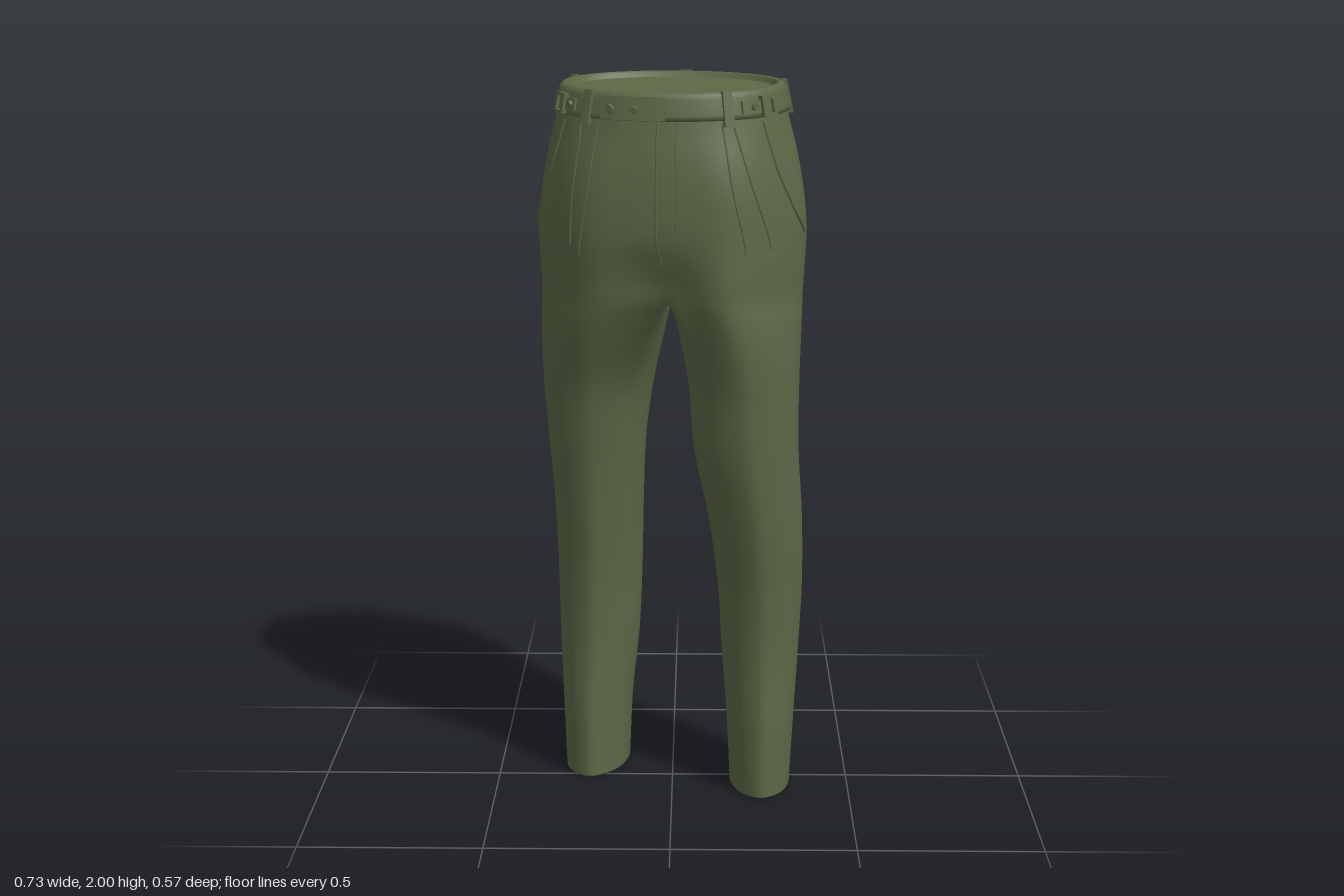
import * as THREE from 'three';
import { mergeGeometries, mergeVertices } from 'three/addons/utils/BufferGeometryUtils.js';

const RAD = Math.PI / 180;
const CROTCH = 1.43;
const spow = (v, p) => Math.sign(v) * Math.abs(v) ** p;
const smooth = (v, a, b) => THREE.MathUtils.smoothstep(v, a, b);
const bell = (v, w) => Math.exp(-((v / w) ** 2));

// Hip sections: height, half width, front depth, back depth
const HIPS = [
  [1.43, 0.357, 0.272, 0.222], [1.5, 0.36, 0.276, 0.245], [1.6, 0.363, 0.278, 0.268],
  [1.7, 0.354, 0.277, 0.279], [1.8, 0.336, 0.27, 0.264], [1.9, 0.311, 0.254, 0.216], [2.0, 0.29, 0.237, 0.193],
];
// Leg sections: height, inner x, outer x, front z, back z
const LEFT_LEG = [
  [0, 0.165, 0.335, 0.175, -0.118], [0.2, 0.155, 0.345, 0.173, -0.122], [0.4, 0.14, 0.356, 0.165, -0.124],
  [0.6, 0.127, 0.364, 0.18, -0.127], [0.8, 0.1, 0.36, 0.21, -0.105], [1.0, 0.06, 0.347, 0.238, -0.087],
  [1.2, 0.045, 0.346, 0.255, -0.103], [1.43, 0.025, 0.352, 0.28, -0.125],
];
const RIGHT_LEG = [
  [0, 0.13, 0.308, 0.028, -0.27], [0.2, 0.12, 0.315, 0.026, -0.277], [0.4, 0.099, 0.322, 0.022, -0.277],
  [0.6, 0.09, 0.325, 0.035, -0.275], [0.8, 0.085, 0.33, 0.065, -0.245], [1.0, 0.076, 0.343, 0.1, -0.215],
  [1.2, 0.05, 0.355, 0.14, -0.208], [1.43, 0.025, 0.362, 0.2, -0.22],
];

// Smooth interpolation of a section table at height y
function sample(table, y) {
  const n = table.length - 1;
  y = THREE.MathUtils.clamp(y, table[0][0], table[n][0]);
  let k = 0;
  while (k < n - 1 && y > table[k + 1][0]) k++;
  const h = table[k + 1][0] - table[k][0], f = (y - table[k][0]) / h;
  const slope = (i, c) => {
    const a = table[Math.max(i - 1, 0)], b = table[Math.min(i + 1, n)];
    return (b[c] - a[c]) / (b[0] - a[0]);
  };
  return table[k].slice(1).map((v, j) => {
    const c = j + 1, s = f * f * (3 - 2 * f);
    return v + (table[k + 1][c] - v) * s
      + h * (f * (1 - f) ** 2 * slope(k, c) - f * f * (1 - f) * slope(k + 1, c));
  });
}

// Point on the hips: angle 0 is the front, positive goes to the left side
function hip(y, angle, out = 0) {
  const [a, front, back] = sample(HIPS, y);
  const s = Math.sin(angle), c = Math.cos(angle);
  const low = 1 - smooth(y, CROTCH, 1.62);
  const dent = c > 0 ? 0.17 * low : 0.04 * smooth(1.86 - y, 0, 0.15) + 0.2 * low;
  const crease = c > 0 ? 0.014 * bell(Math.abs(s) - 0.5, 0.22) * (1 - smooth(y, 1.7, 1.9)) : 0;
  const z = (c > 0 ? front : back) * spow(c, 0.93) * (1 - dent * bell(s, 0.3)) + crease + out * c;
  // Under the crotch the centre seam swings back to the middle
  const x = a * spow(s, 0.93) + out * s + 0.15 * low * z * bell(s, 0.5);
  const yaw = 0.14 + 0.06 * low;
  return new THREE.Vector3(x * Math.cos(yaw) - z * Math.sin(yaw), y, z * Math.cos(yaw) + x * Math.sin(yaw));
}

// Point on a leg: oval section with a pressed crease front and back
function leg(side, y, angle) {
  const [xi, xo, zf, zb] = sample(side > 0 ? LEFT_LEG : RIGHT_LEG, y);
  const s = Math.sin(angle), c = Math.cos(angle), hx = (xo - xi) / 2, hz = (zf - zb) / 2;
  const dz = hz * c * (0.965 + 0.035 * bell(s, 0.22));
  const turnout = side > 0 ? 0.01 : 0.13;
  return new THREE.Vector3(side * ((xi + xo) / 2 + hx * s + turnout * dz), y, (zf + zb) / 2 + dz);
}

// Skin through rows of points, listed from the top down
function skin(rows, flip = false) {
  const w = rows[0].length, index = [];
  for (let r = 0; r < rows.length - 1; r++) for (let i = 0; i < w - 1; i++) {
    const a = r * w + i, b = a + 1, c = a + w, d = c + 1;
    index.push(...(flip ? [a, b, c, b, d, c] : [a, c, b, b, c, d]));
  }
  const g = new THREE.BufferGeometry().setFromPoints(rows.flat());
  g.setIndex(index);
  return g;
}
const range = (n, f) => Array.from({ length: n + 1 }, (_, i) => f(i / n));

// Ring of one leg that opens from the half hip section at the crotch
function legRing(side, y) {
  const w = smooth(CROTCH - y, 0, 0.3) ** 0.45, a = 0.75;
  const outer = range(44, (t) => hip(CROTCH, side * Math.PI * t).setY(y)
    .lerp(leg(side, y, -a + (Math.PI + 2 * a) * t), w));
  const back = hip(CROTCH, Math.PI), front = hip(CROTCH, 0);
  const inner = range(22, (t) => back.clone().lerp(front, t)
    .setY(y - 0.015 * Math.sin(Math.PI * t)).lerp(leg(side, y, Math.PI + a + (Math.PI - 2 * a) * t), w));
  return [...outer, ...inner.slice(1)];
}

export function createModel() {
  const model = new THREE.Group();
  const fabric = new THREE.MeshStandardMaterial({ color: 0x5c6846 });
  fabric.name = 'olive fabric';
  const add = (name, geometry) => {
    const mesh = new THREE.Mesh(geometry, fabric);
    mesh.name = name;
    model.add(mesh);
    return mesh;
  };

  // Seat and both legs as one smooth surface
  const pieces = [];
  for (const side of [1, -1]) {
    pieces.push(skin(range(18, (t) => range(44, (u) =>
      hip(1.94 + (CROTCH - 1.94) * t, side * Math.PI * u))), side < 0));
    pieces.push(skin(range(56, (t) => legRing(side, CROTCH + (0.005 - CROTCH) * t)), side < 0));
  }
  const body = mergeVertices(mergeGeometries(pieces), 1e-4);
  body.computeVertexNormals();
  add('trouserBody', body);

  // Closed hems
  for (const side of [1, -1]) {
    const ring = legRing(side, 0.005);
    const mid = ring.reduce((s, p) => s.add(p), new THREE.Vector3()).divideScalar(ring.length);
    const inset = ring.map((p) => p.clone().lerp(mid, 0.04).setY(0));
    const hem = skin([ring, inset, ring.map(() => mid.clone().setY(0))], side < 0);
    hem.computeVertexNormals();
    add(side > 0 ? 'leftHem' : 'rightHem', hem);
  }

  // Waistband with rolled rim and sunken lid, a little higher at the back
  const tilt = (p, angle) => p.setY(p.y - 0.011 * Math.cos(angle));
  const profile = [[-0.026, 1.972], [-0.02, 1.973], [-0.016, 1.984], [-0.009, 1.989], [0, 1.988],
    [0.006, 1.981], [0.008, 1.97], [0.009, 1.93], [0.008, 1.918], [-0.006, 1.913]];
  const bandRows = profile.map(([o, y]) => range(96, (t) => tilt(hip(y, 2 * Math.PI * t, o), 2 * Math.PI * t)));
  bandRows.unshift(bandRows[0].map(() => new THREE.Vector3(0, 1.972, 0.02)));
  const band = mergeVertices(skin(bandRows), 1e-5);
  band.computeVertexNormals();
  add('waistband', band);

  // Flat piece of cloth laid on the hips, from angle a0 to a1 in degrees
  function patch(name, a0, a1, y0, y1, o0, o1, tilted = false, taper = 0) {
    const g = new THREE.BoxGeometry(1, 1, 1, 10, 10, 1), p = g.attributes.position;
    for (let i = 0; i < p.count; i++) {
      const u = p.getX(i) + 0.5, v = p.getY(i) + 0.5;
      const angle = (a0 + (a1 - a0) * u * (1 - taper * (1 - v) ** 6)) * RAD;
      const q = hip(y0 + (y1 - y0) * v, angle, p.getZ(i) > 0 ? o1 : o0);
      if (tilted) tilt(q, angle);
      p.setXYZ(i, q.x, q.y, q.z);
    }
    g.computeVertexNormals();
    return add(name, g);
  }

  // Rounded cord following the hips through [degrees, height] points
  function cord(name, points, radius, out = 0) {
    const dense = new THREE.CatmullRomCurve3(points.map(([a, y]) => new THREE.Vector3(a, y, 0)))
      .getPoints(14).map((p) => hip(p.y, p.x * RAD, out));
    return add(name, new THREE.TubeGeometry(new THREE.CatmullRomCurve3(dense), 30, radius, 6));
  }

  // Round button facing outward
  function button(name, deg, y, out, radius) {
    const g = new THREE.CylinderGeometry(radius * 0.85, radius, 0.008, 20).rotateX(Math.PI / 2);
    const mesh = add(name, g);
    mesh.position.copy(hip(y, deg * RAD, out));
    mesh.lookAt(hip(y, deg * RAD, out + 1));
  }

  // Belt loops
  for (const a of [-36, 33, 106, 179, -112]) {
    patch('beltLoop', a - 2.5, a + 2.5, 1.9, 1.99, 0.002, 0.017, true);
  }

  // Fly with stitching, and waistband closure
  patch('fly', 0, 7.5, 1.53, 1.905, -0.01, 0.003, false, 0.9);
  cord('flyEdge', [[0, 1.9], [0, 1.7], [0, 1.53]], 0.003, 0.002);
  cord('flyStitching', [[7.5, 1.9], [7.5, 1.75], [7, 1.62], [4.5, 1.56], [0.5, 1.53]], 0.002, 0.003);
  patch('closureTab', -27, 3, 1.918, 1.978, 0, 0.013, true);
  button('closureButton', -22, 1.935, 0.016, 0.013);
  button('closureButton', -10, 1.935, 0.016, 0.011);

  // Front pleats
  cord('pleat', [[30, 1.9], [32, 1.75], [38, 1.56]], 0.003);
  cord('pleat', [[36, 1.9], [42, 1.75], [52, 1.57]], 0.003);
  cord('pleat', [[-29, 1.9], [-30, 1.75], [-34, 1.55]], 0.003);
  cord('pleat', [[-41, 1.9], [-39, 1.75], [-39, 1.58]], 0.003);

  for (const s of [1, -1]) {
    // Slanted side pocket
    cord('sidePocketEdge', [[s * 56, 1.9], [s * 59, 1.8], [s * 68, 1.69], [s * 83, 1.6]], 0.005);

    // Waist adjuster: strap, buckle frame and button
    const [a0, a1] = s > 0 ? [41, 66] : [-70, -45];
    patch('adjusterStrap', a0, a1, 1.93, 1.962, 0.004, 0.016, true);
    const b = s * 58;
    for (const d of [-4, 4]) patch('buckleSide', b + d - 1, b + d + 1, 1.92, 1.972, 0.01, 0.024, true);
    for (const y of [1.92, 1.964]) patch('buckleBar', b - 5, b + 5, y, y + 0.008, 0.01, 0.024, true);
    button('adjusterButton', s * 48, 1.94, 0.019, 0.01);

    // Back welt pocket with button and loop
    const [w0, w1] = s > 0 ? [113, 159] : [-163, -119];
    patch('backPocketWelt', w0, w1, 1.797, 1.812, -0.005, 0.006);
    cord('backPocketLip', [[w0, 1.794], [(w0 + w1) / 2, 1.793], [w1, 1.794]], 0.004, 0.001);
    const mid = s * 142;
    patch('buttonLoop', mid - 1.5, mid + 1.5, 1.765, 1.795, -0.002, 0.007);
    button('backPocketButton', mid, 1.765, 0.008, 0.015);
  }
  return model;
}
